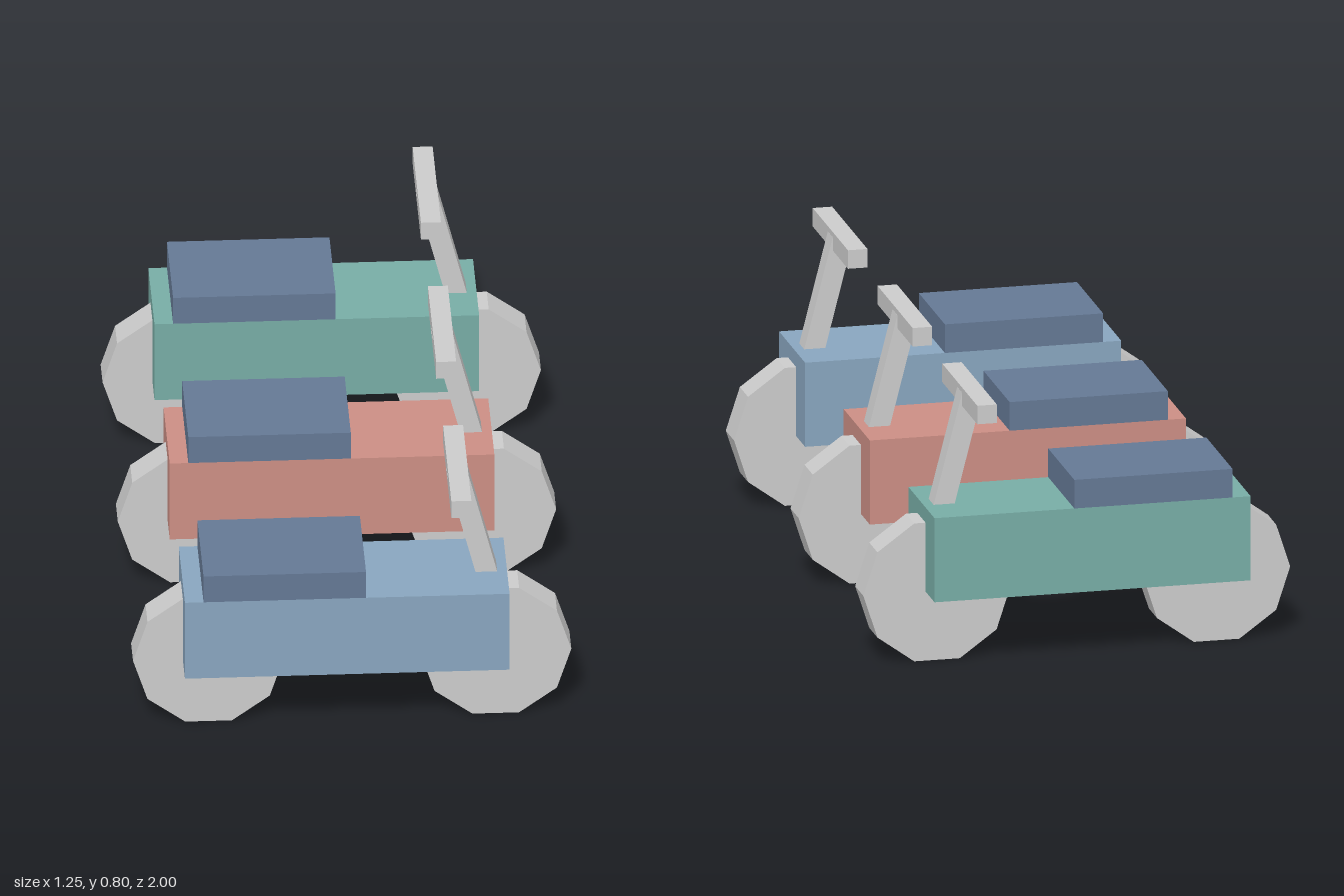
import * as THREE from 'three';

const material = (color) => new THREE.MeshStandardMaterial({ color, flatShading: true });
const grey = material(0xcccccc);
const seatBlue = material(0x647894);

function add(parent, name, geometry, mat, x, y, z = 0) {
  const mesh = new THREE.Mesh(geometry, mat);
  mesh.name = name;
  mesh.position.set(x, y, z);
  parent.add(mesh);
  return mesh;
}

// One scooter heading along +x
function createScooter(name, bodyMaterial) {
  const scooter = new THREE.Group();
  scooter.name = name;

  add(scooter, 'body', new THREE.BoxGeometry(0.925, 0.25, 0.317), bodyMaterial, -0.02, 0.33);
  add(scooter, 'seat', new THREE.BoxGeometry(0.463, 0.085, 0.317), seatBlue, -0.198, 0.4975);

  // Ten-sided wheels resting on a flat facet
  const wheel = new THREE.CylinderGeometry(0.2155, 0.2155, 0.1, 10, 1, false, Math.PI / 2);
  wheel.rotateX(Math.PI / 2);
  add(scooter, 'frontWheel', wheel, grey, 0.409, 0.205);
  add(scooter, 'rearWheel', wheel, grey, -0.409, 0.205);

  // Raked steering column and crossbar
  const column = add(scooter, 'steeringColumn', new THREE.BoxGeometry(0.06, 0.35, 0.06), grey, 0.345, 0.605);
  column.rotation.z = 0.25;
  add(scooter, 'handlebar', new THREE.BoxGeometry(0.057, 0.055, 0.428), grey, 0.302, 0.77);

  return scooter;
}

export function createModel() {
  const model = new THREE.Group();
  model.name = 'parkedScooters';

  // Three scooters side by side
  [
    ['greenScooter', 0x77aca5, -0.786],
    ['redScooter', 0xcb8e84, 0],
    ['blueScooter', 0x88a5be, 0.786],
  ].forEach(([name, color, z]) => {
    const scooter = createScooter(name, material(color));
    scooter.position.z = z;
    model.add(scooter);
  });

  return model;
}
